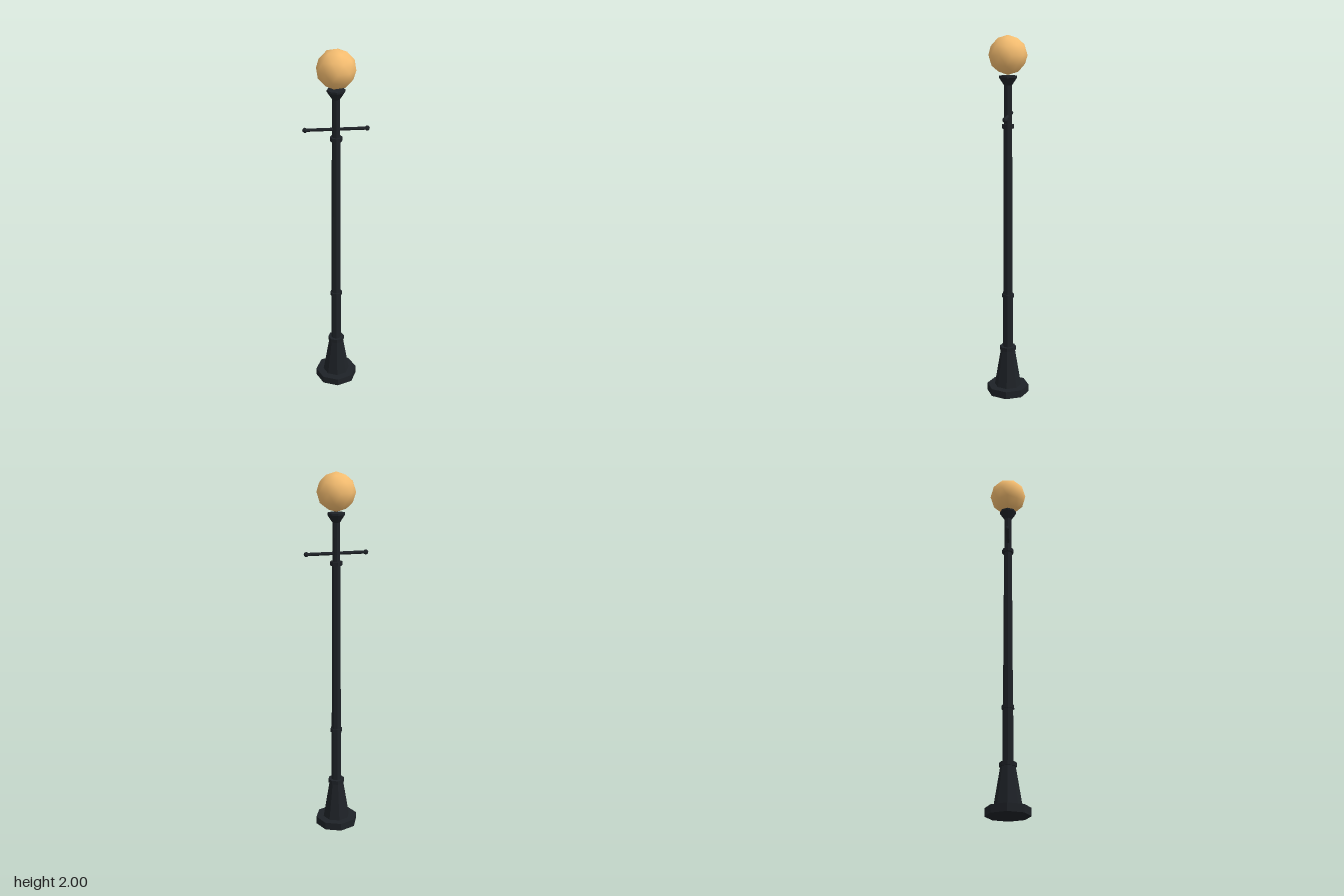
import * as THREE from 'three';

export function createModel() {
  const model = new THREE.Group();
  model.name = 'streetLamp';

  const iron = new THREE.MeshStandardMaterial({ color: 0x1e2227, flatShading: true });
  const glow = new THREE.MeshStandardMaterial({ color: 0xf5bd70 });

  const add = (name, geometry, material = iron) => {
    const mesh = new THREE.Mesh(geometry, material);
    mesh.name = name;
    model.add(mesh);
    return mesh;
  };

  // Eight-sided post sections: name, bottom y, top y, bottom radius, top radius
  const sections = [
    ['basePlate', 0, 0.042, 0.118, 0.118],
    ['baseCone', 0.042, 0.26, 0.075, 0.039],
    ['baseCollar', 0.253, 0.275, 0.046, 0.046],
    ['lowerPost', 0.27, 0.57, 0.0285, 0.0275],
    ['lowerCollar', 0.565, 0.586, 0.033, 0.033],
    ['mainPost', 0.58, 1.52, 0.0265, 0.0225],
    ['upperCollar', 1.513, 1.534, 0.033, 0.033],
    ['upperPost', 1.53, 1.75, 0.0205, 0.0205],
    ['lampCup', 1.74, 1.78, 0.021, 0.048],
    ['lampCupRim', 1.78, 1.79, 0.048, 0.048],
  ];
  for (const [name, y0, y1, r0, r1] of sections) {
    add(name, new THREE.CylinderGeometry(r1, r0, y1 - y0, 8)).position.y = (y0 + y1) / 2;
  }

  // Ladder bar with a ball at each end
  const barY = 1.577;
  const bar = add('ladderBar', new THREE.CylinderGeometry(0.009, 0.009, 0.325, 8));
  bar.rotation.z = Math.PI / 2;
  bar.position.y = barY;
  for (const side of [-1, 1]) {
    const ball = add(side > 0 ? 'leftBarBall' : 'rightBarBall', new THREE.SphereGeometry(0.0135, 8, 6));
    ball.position.set(side * 0.1615, barY, 0);
  }

  // Globe: smooth-shaded icosphere standing on one of its corners
  const globe = add('globe', new THREE.IcosahedronGeometry(0.103, 1), glow);
  globe.rotation.z = -Math.atan(2 / (1 + Math.sqrt(5)));
  globe.position.y = 1.897;

  return model;
}
